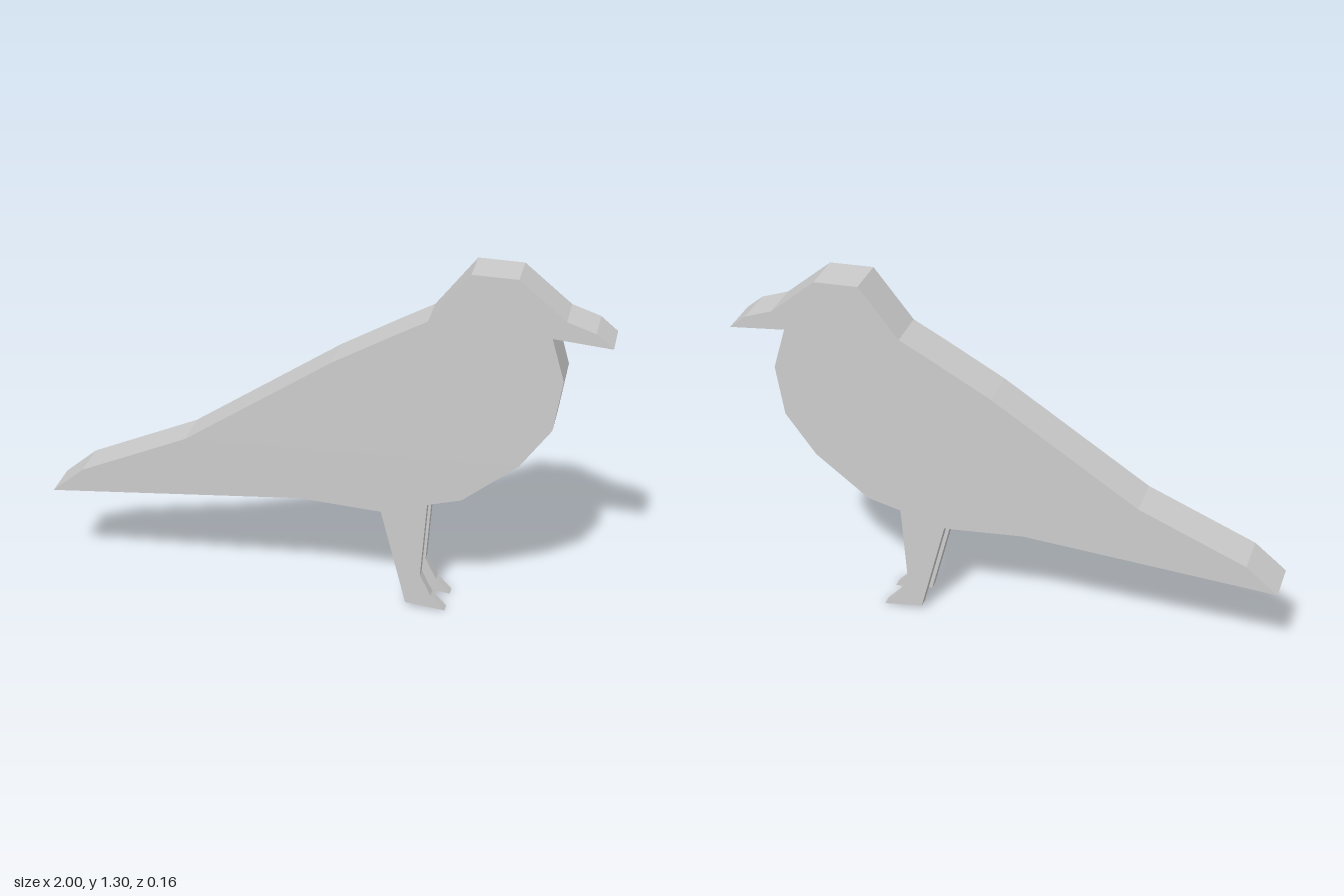
import * as THREE from 'three';

const HALF = 0.08; // half the thickness of the body
const LEG = 0.038; // thickness of one leg

// Flat slab cut from an outline in x/y, starting at depth z
function slab(name, outline, z, depth, material) {
  const shape = new THREE.Shape(outline.map(([x, y]) => new THREE.Vector2(x, y)));
  const geometry = new THREE.ExtrudeGeometry(shape, { depth, bevelEnabled: false });
  geometry.translate(0, 0, z);
  const mesh = new THREE.Mesh(geometry, material);
  mesh.name = name;
  return mesh;
}

export function createModel() {
  const group = new THREE.Group();
  group.name = 'bird';
  const material = new THREE.MeshStandardMaterial({ color: 0xcccccc, flatShading: true });

  // Body with tail, head and beak, counter-clockwise from the tail tip
  const body = [
    [-1, 0.33], [-0.08, 0.398], [0.215, 0.376], [0.38, 0.422], // underside
    [0.5, 0.453], [0.695, 0.605], [0.805, 0.755], [0.835, 0.94], [0.79, 1.095], // breast
    [0.995, 1.075], [0.935, 1.125], [0.835, 1.16], // beak
    [0.67, 1.297], [0.51, 1.302], [0.367, 1.12], // head
    [0.25, 1.057], [0.035, 0.937], [-0.495, 0.59], [-0.885, 0.425], // back and tail
  ];
  group.add(slab('body', body, -HALF, 2 * HALF, material));

  // Legs with feet, flush with both sides of the body
  const leg = [
    [0.215, 0.376], [0.308, 0.018], [0.452, 0], [0.4, 0.055], [0.36, 0.135], [0.38, 0.422],
  ];
  group.add(slab('leftLeg', leg, HALF - LEG, LEG, material));
  group.add(slab('rightLeg', leg, -HALF, LEG, material));

  return group;
}
